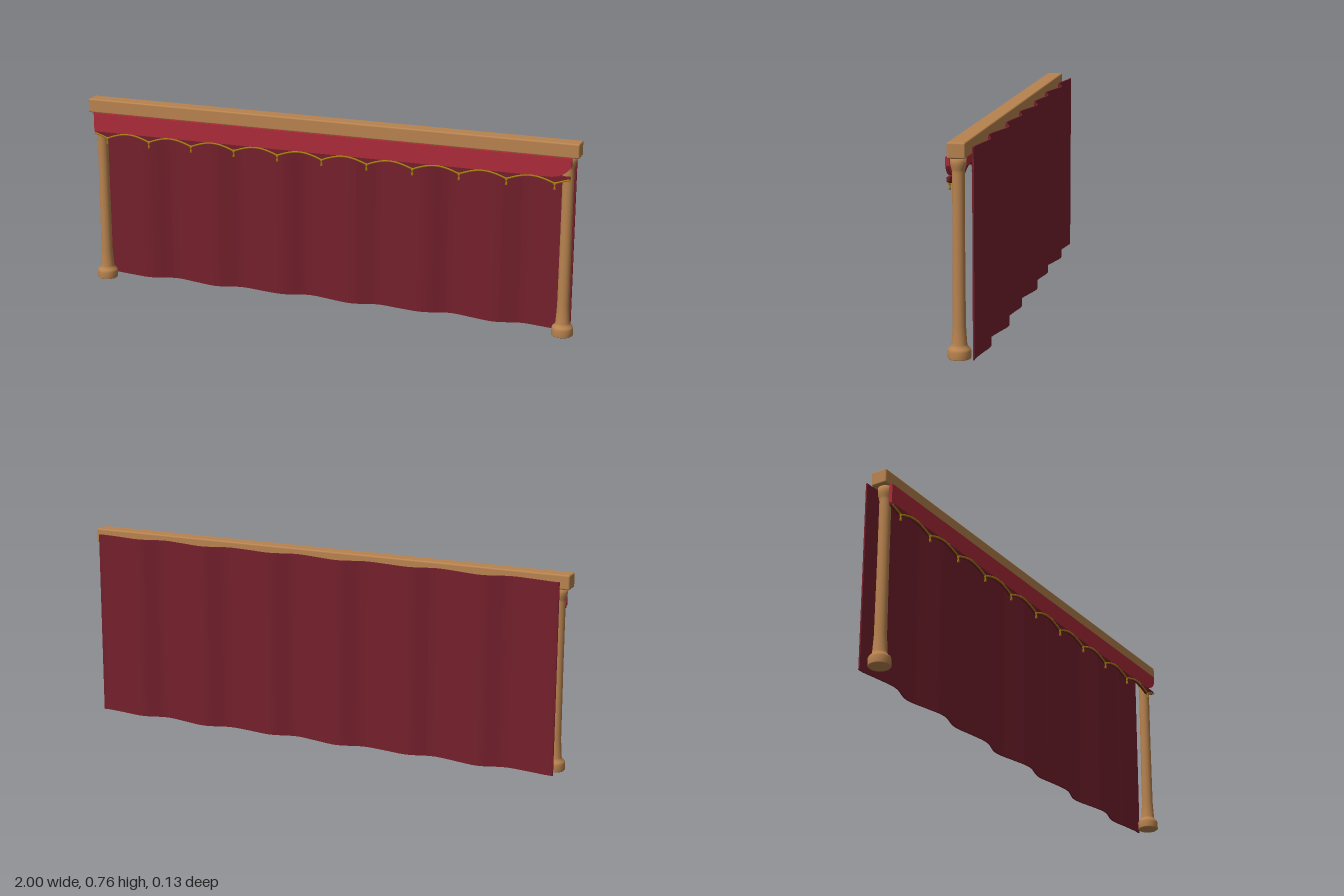
import * as THREE from 'three';
import { RoundedBoxGeometry } from 'three/addons/geometries/RoundedBoxGeometry.js';

const material = (name, color) => {
  const m = new THREE.MeshStandardMaterial({ color });
  m.name = name;
  return m;
};

export function createModel() {
  const group = new THREE.Group();
  const wood = material('warm wood', 0xb8834f);
  const red = material('valance red', 0xae2a3a);
  const darkRed = material('curtain dark red', 0x74202c);
  const gold = material('trim gold', 0xa8800f);

  const add = (name, geometry, mat, x = 0, y = 0, z = 0) => {
    const mesh = new THREE.Mesh(geometry, mat);
    mesh.name = name;
    mesh.position.set(x, y, z);
    group.add(mesh);
    return mesh;
  };

  // Top beam
  add('beam', new RoundedBoxGeometry(2, 0.056, 0.064, 3, 0.006), wood, 0, 0.729, 0.018);

  // Turned posts with flared base and capital
  const profile = [
    [0, 0], [0.038, 0], [0.041, 0.003], [0.041, 0.028], [0.038, 0.036], [0.03, 0.043],
    [0.027, 0.052], [0.0245, 0.09], [0.0228, 0.12], [0.0215, 0.4], [0.0215, 0.65],
    [0.0235, 0.66], [0.027, 0.672], [0.028, 0.682], [0.028, 0.702], [0, 0.702],
  ].map(([r, y]) => new THREE.Vector2(r, y));
  for (const side of [-1, 1]) {
    add(side > 0 ? 'leftPost' : 'rightPost', new THREE.LatheGeometry(profile, 32), wood, side * 0.956, 0, 0.019);
  }

  // Pleated back curtain: a thin wavy ribbon extruded upward
  const wave = (x) => -0.0445
    - 0.0125 * Math.cos((x + 0.66) * Math.PI * 2 / 0.292)
    - 0.004 * Math.cos((x + 0.66) * Math.PI * 4 / 0.584 * 0.5 + 0.4)
    - 0.002 * Math.sin(x * 43);
  const outline = [];
  const steps = 160;
  const at = (i) => -0.975 + 1.95 * i / steps;
  for (let i = 0; i <= steps; i++) outline.push(new THREE.Vector2(at(i), -wave(at(i)) - 0.003));
  for (let i = steps; i >= 0; i--) outline.push(new THREE.Vector2(at(i), -wave(at(i)) + 0.003));
  const curtain = new THREE.ExtrudeGeometry(new THREE.Shape(outline), { depth: 0.738, bevelEnabled: false });
  curtain.rotateX(-Math.PI / 2);
  add('curtain', curtain, darkRed);

  // Flat valance with one softly rounded corner
  const band = new THREE.Shape();
  band.moveTo(-0.972, 0.628);
  band.lineTo(0.9, 0.628);
  band.quadraticCurveTo(0.955, 0.635, 0.975, 0.672);
  band.lineTo(0.975, 0.703);
  band.lineTo(-0.972, 0.703);
  add('valance', new THREE.ExtrudeGeometry(band, { depth: 0.014, bevelEnabled: false, curveSegments: 8 }), red, 0, 0, 0.046);

  // Scalloped hem below the valance, dipping to a point at each tassel
  const pitch = 0.183;
  const hemY = (x) => {
    const t = Math.abs(x / pitch - Math.round(x / pitch)) * 2;
    return 0.602 + 0.022 * Math.sin(t * Math.PI / 2);
  };
  const hemPoints = [];
  for (let i = 0; i <= 168; i++) {
    const x = -0.97 + 1.94 * i / 168;
    hemPoints.push(new THREE.Vector2(x, hemY(x)));
  }
  const hem = new THREE.Shape([...hemPoints, new THREE.Vector2(0.97, 0.632), new THREE.Vector2(-0.97, 0.632)]);
  add('scallopedHem', new THREE.ExtrudeGeometry(hem, { depth: 0.011, bevelEnabled: false }), darkRed, 0, 0, 0.047);

  // Gold cord along the hem
  const cordPath = new THREE.CatmullRomCurve3(hemPoints.map((p) => new THREE.Vector3(p.x, p.y + 0.002, 0.059)));
  add('goldCord', new THREE.TubeGeometry(cordPath, 340, 0.0036, 6), gold);

  // Tassels hanging from the points of the hem
  const tasselProfile = [[0, -0.022], [0.005, -0.021], [0.0035, -0.01], [0.002, -0.006], [0.005, -0.002], [0.0045, 0.003], [0, 0.006]]
    .map(([r, y]) => new THREE.Vector2(r, y));
  const tassel = new THREE.LatheGeometry(tasselProfile, 10);
  for (let i = -5; i <= 5; i++) add('tassel', tassel, gold, i * pitch, 0.601, 0.059);

  return group;
}
